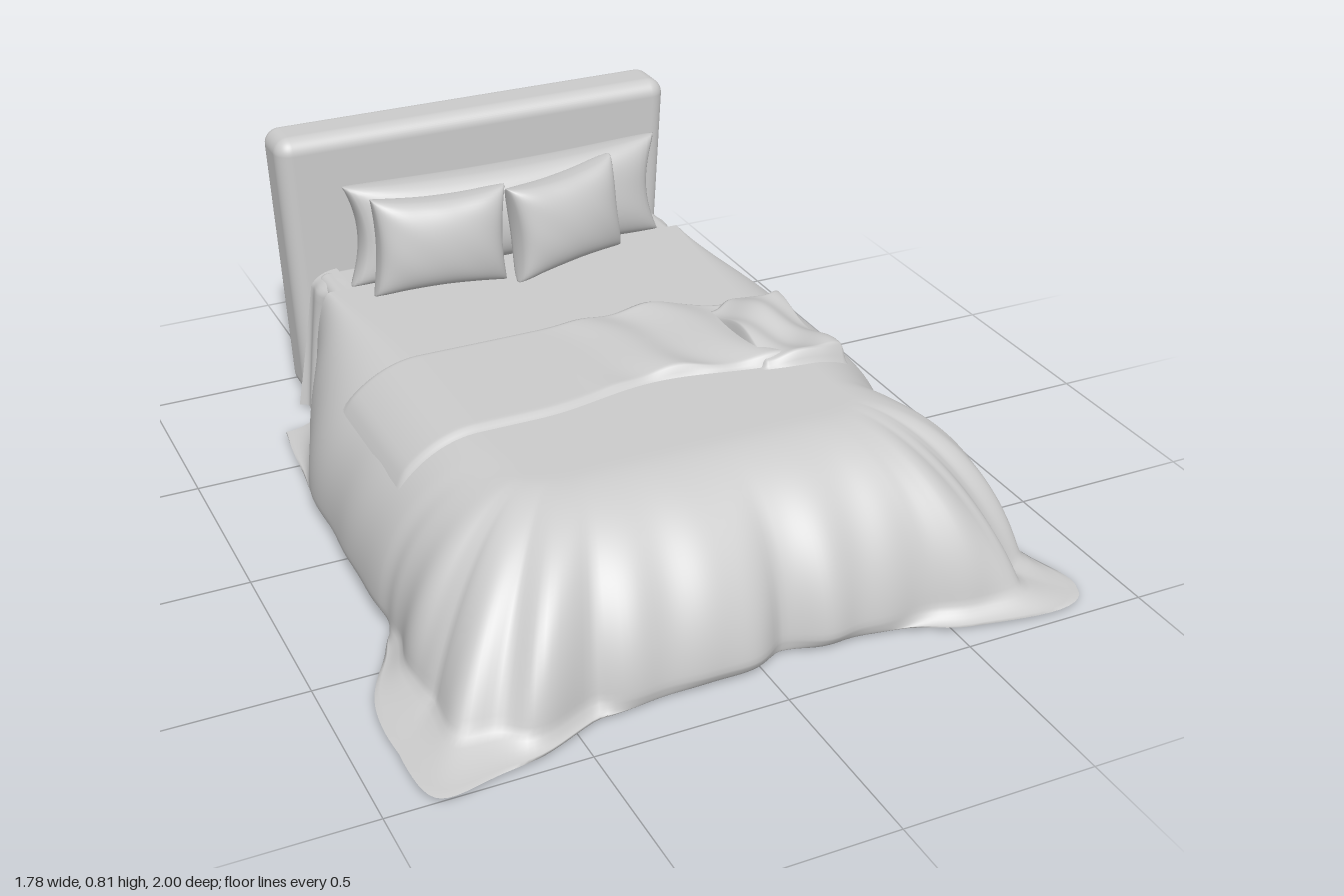
import * as THREE from 'three';
import { mergeGeometries, mergeVertices } from 'three/addons/utils/BufferGeometryUtils.js';
import { RoundedBoxGeometry } from 'three/addons/geometries/RoundedBoxGeometry.js';

const { sin, cos, abs, sqrt, PI } = Math;
const { lerp, clamp, smoothstep } = THREE.MathUtils;
const mat = new THREE.MeshStandardMaterial({ color: 0xcccccc, side: THREE.DoubleSide });
const TOP = 0.425, LOW = 0.045;

// Surface from a rule f(a, b) -> [x, y, z], with a and b running 0..1
function grid(na, nb, f) {
  const pos = [], idx = [];
  for (let i = 0; i <= na; i++)
    for (let j = 0; j <= nb; j++) pos.push(...f(i / na, j / nb));
  for (let i = 0; i < na; i++)
    for (let j = 0; j < nb; j++) {
      const p = i * (nb + 1) + j, q = p + nb + 1;
      idx.push(p, q, p + 1, q, q + 1, p + 1);
    }
  const g = new THREE.BufferGeometry();
  g.setAttribute('position', new THREE.Float32BufferAttribute(pos, 3));
  g.setIndex(idx);
  g.computeVertexNormals();
  return g;
}

// Duvet stations around the bed: shoulder x,z, bulge x,z, hem x,z
const STATIONS = [
  [-0.54, -0.67, -0.60, -0.67, -0.70, -0.68],
  [-0.49, -0.35, -0.73, -0.35, -0.73, -0.35],
  [-0.46, 0.00, -0.76, 0.00, -0.73, 0.00],
  [-0.45, 0.30, -0.76, 0.30, -0.73, 0.30],
  [-0.44, 0.40, -0.76, 0.43, -0.80, 0.44],
  [-0.44, 0.46, -0.78, 0.62, -0.90, 0.66],
  [-0.42, 0.48, -0.77, 0.83, -0.88, 1.00],
  [-0.36, 0.50, -0.60, 0.90, -0.62, 0.96],
  [-0.25, 0.50, -0.33, 0.88, -0.33, 0.88],
  [-0.10, 0.50, -0.10, 0.89, -0.10, 0.87],
  [0.12, 0.50, 0.12, 0.87, 0.12, 0.85],
  [0.28, 0.50, 0.33, 0.88, 0.33, 0.87],
  [0.38, 0.50, 0.57, 0.91, 0.54, 0.95],
  [0.44, 0.48, 0.75, 0.85, 0.89, 0.94],
  [0.45, 0.45, 0.81, 0.70, 0.85, 0.74],
  [0.45, 0.40, 0.78, 0.52, 0.79, 0.52],
  [0.45, 0.34, 0.71, 0.38, 0.70, 0.38],
  [0.46, 0.10, 0.76, 0.15, 0.73, 0.12],
  [0.47, -0.15, 0.76, -0.12, 0.73, -0.15],
  [0.49, -0.40, 0.71, -0.40, 0.72, -0.42],
  [0.53, -0.67, 0.57, -0.67, 0.71, -0.68],
];

function duvetGeometry() {
  const [shoulder, bulge, hem] = [0, 2, 4].map(k =>
    new THREE.CatmullRomCurve3(STATIONS.map(s => new THREE.Vector3(s[k], 0, s[k + 1]))));
  return grid(66, 260, (v, u) => {
    const s = shoulder.getPoint(u), b = bulge.getPoint(u), h = hem.getPoint(u);
    const out = b.clone().sub(s).normalize();
    const front = smoothstep(u, 0.18, 0.3) * (1 - smoothstep(u, 0.68, 0.78));
    const puff = front * 0.035 * (abs(sin(u * 33 + 0.5 * sin(u * 50))) - 0.7);
    const fold = puff + (0.003 + 0.005 * front) * (sin(u * 95 + 2 * sin(u * 17)) + 0.7 * sin(u * 153 + 1 + 5 * v));
    const slack = front * Math.min(0.4, 0.1 + 3 * Math.max(0, b.distanceTo(h) - 0.03));
    let p, w, y;
    if (v < 0.2) {                        // flat top
      const spine = new THREE.Vector3(0, 0, Math.min(s.z, 0.3));
      p = spine.lerp(s, v / 0.2); y = TOP; w = 0;
    } else if (v < 0.74) {                // rounded side, sagging straighter at the corners
      const q = (v - 0.2) / 0.54 * PI / 2;
      p = s.lerp(b, lerp(sin(q), 1 - cos(q), slack)); y = LOW + (TOP - LOW) * cos(q); w = sin(q) ** 2;
    } else if (v < 0.84) {                // edge spreading on the floor
      const t = (v - 0.74) / 0.1;
      p = b.lerp(h, t); y = lerp(LOW, 0.01, 1 - (1 - t) ** 2); w = 1 - 0.5 * t;
    } else {                              // underside folded back toward the skirt
      const t = (v - 0.84) / 0.16;
      p = h.lerp(s, 0.55 * t); y = 0.01 - 0.008 * Math.min(1, t * 5) + 0.02 * t * t; w = 0.5 * (1 - t);
    }
    return [p.x + out.x * fold * w, y, p.z + out.z * fold * w];
  });
}

// Height of the duvet across the middle of the bed
const bedTop = x => LOW + (TOP - LOW) * sqrt(1 - clamp((abs(x) - 0.455) / 0.305, 0, 0.98) ** 2);

// Cloth lying on the bed between two z edges, with its rim lowered onto the duvet
function cloth(x0, x1, back, front, lift, wrinkle) {
  return grid(50, 90, (b, a) => {
    const x = lerp(x0, x1, a), z = lerp(back(x), front(x), b);
    const rim = smoothstep(Math.min(a, 1 - a) * (x1 - x0), 0, 0.02) * smoothstep(Math.min(b, 1 - b), 0, 0.05);
    return [x, bedTop(x) + 0.002 + rim * (lift + wrinkle(x, z)), z];
  });
}

// Stuffed pillow with pointed corners and drawn-in edges
function pillow(w, h, d) {
  const side = s => grid(28, 28, (a, b) => {
    const u = sin((a - 0.5) * PI), v = sin((b - 0.5) * PI);
    const puff = ((1 - u * u) * (1 - v * v)) ** 0.3;
    const crease = 1 + 0.05 * sin(7 * u + 4 * v) * u * v;
    return [s * u * w / 2 * (1 - 0.08 * (1 - v * v)), v * h / 2 * (1 - 0.12 * (1 - u * u)), s * puff * d / 2 * crease];
  });
  const g = mergeVertices(mergeGeometries([side(1), side(-1)]).deleteAttribute('normal'), 1e-5);
  g.computeVertexNormals();
  return g;
}

// Pleated skirt hanging under the mattress
function skirtGeometry() {
  const path = new THREE.CatmullRomCurve3(
    [[-0.49, -0.82], [-0.49, 0.46], [-0.45, 0.5], [0.45, 0.5], [0.49, 0.46], [0.49, -0.82]]
      .map(([x, z]) => new THREE.Vector3(x, 0, z)), false, 'catmullrom', 0.05);
  path.arcLengthDivisions = 800;
  return grid(6, 420, (v, u) => {
    const p = path.getPointAt(u), t = path.getTangentAt(u);
    const o = v * (0.025 + 0.022 * sin(u * 2 * PI * 32 + sin(u * 60)));
    return [p.x - t.z * o, 0.38 * (1 - v) + 0.003, p.z + t.x * o];
  });
}

// Loose sheet hanging beside the headboard in broad folds
function sheetDrape(side) {
  return grid(24, 30, (v, u) => {
    const round = Math.min(1, v * 4) * PI / 2;
    const flare = v * (0.01 + 0.07 * u * u) + 0.012 * sin(u * 11 + v) * sqrt(v);
    const y = v < 0.25 ? 0.375 + 0.042 * cos(round) : lerp(0.375, 0.006, (v - 0.25) / 0.75);
    return [side * (0.47 + 0.065 * sin(round) + flare), y, lerp(-0.62 - 0.09 * v, -0.825, u)];
  });
}

export function createModel() {
  const bed = new THREE.Group();
  bed.name = 'bed';
  const add = (name, geometry, x = 0, y = 0, z = 0, rx = 0, ry = 0, rz = 0) => {
    const m = new THREE.Mesh(geometry, mat);
    m.name = name;
    m.position.set(x, y, z);
    m.rotation.set(rx, ry, rz, 'YXZ');
    bed.add(m);
  };

  // Upholstered headboard, narrower toward the floor
  const board = new RoundedBoxGeometry(1.19, 0.815, 0.16, 6, 0.045);
  const bp = board.attributes.position;
  for (let i = 0; i < bp.count; i++) bp.setX(i, bp.getX(i) * lerp(0.94, 1, smoothstep(bp.getY(i), -0.1, 0.4)));
  add('headboard', board, -0.02, 0.4075, -0.915);

  // Bed base and bedding
  add('mattress', new RoundedBoxGeometry(1.06, 0.06, 1.33, 5, 0.028), 0, 0.385, -0.165);
  add('skirt', skirtGeometry());
  add('duvet', duvetGeometry());
  for (const side of [-1, 1]) add(side < 0 ? 'rightSheetDrape' : 'leftSheetDrape', sheetDrape(side));

  // Throw blanket with one end bunched up
  add('throwBlanket', cloth(-0.67, 0.50,
    x => -0.21 + 0.1 * smoothstep(x, 0.2, 0.48),
    x => 0.23 - 0.05 * sin(clamp((x + 0.3) / 0.7, 0, 1) * PI) ** 2,
    0.012, (x, z) => 0.009 * smoothstep(x, -0.15, 0.15) * (1 + sin(28 * x - 22 * z + 2 * sin(9 * z)))));
  add('throwFold', cloth(0.33, 0.58,
    x => -0.12 + 0.015 * sin(x * 40), x => 0.24 + 0.02 * sin((x - 0.33) * 9),
    0.034, (x, z) => 0.012 * sin(20 * z + 18 * x) + 0.006 * sin(45 * x - 20 * z)));

  // Pillows
  add('longPillow', pillow(0.95, 0.29, 0.21), 0.005, 0.56, -0.715, -0.12);
  add('rightCushion', pillow(0.38, 0.275, 0.165), -0.26, 0.585, -0.54, -0.1, -0.06, -0.03);
  add('leftCushion', pillow(0.36, 0.275, 0.165), 0.11, 0.585, -0.535, -0.12, 0.24, 0.04);
  return bed;
}
